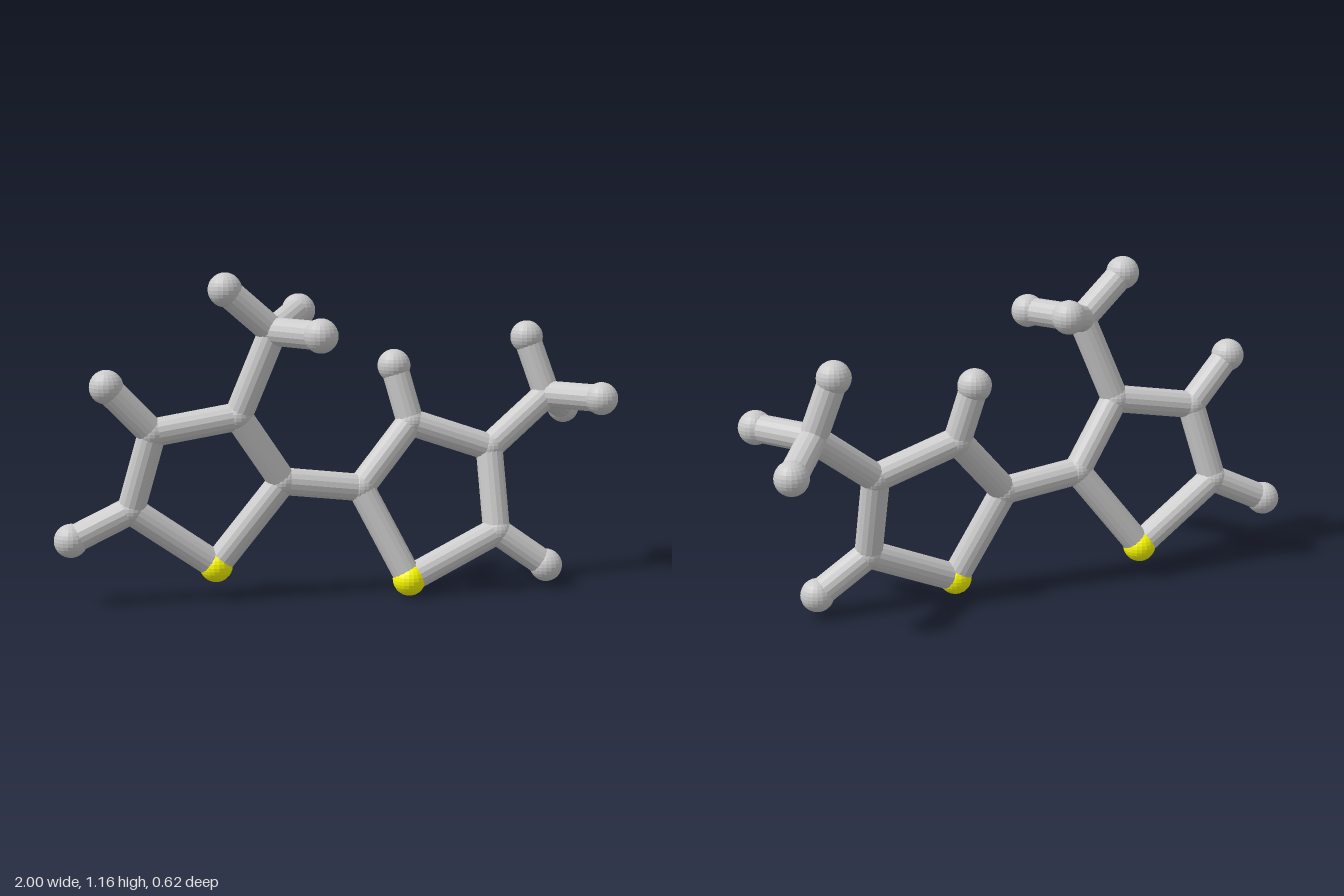
import * as THREE from 'three';

const BOND_RADIUS = 0.049;

// Joint centres [x, y, z]
const joints = {
  // right-hand ring (-x)
  sulfurA: [-0.435, 0.122, -0.063],
  carbonA2: [-0.205, 0.42, -0.015],
  carbonA3: [-0.37, 0.66, 0.02],
  carbonA4: [-0.665, 0.61, -0.008],
  carbonA5: [-0.735, 0.335, -0.055],
  hydrogenA4: [-0.823, 0.775, 0.01],
  hydrogenA5: [-0.942, 0.235, -0.073],
  methylA: [-0.255, 0.955, 0.06],
  hydrogenA6: [-0.425, 1.102, 0.08],
  hydrogenA7: [-0.122, 1.01, -0.112],
  hydrogenA8: [-0.135, 0.955, 0.255],
  // left-hand ring (+x)
  sulfurB: [0.238, 0.06, 0.058],
  carbonB2: [0.078, 0.385, -0.012],
  carbonB3: [0.275, 0.605, -0.062],
  carbonB4: [0.567, 0.505, -0.043],
  carbonB5: [0.575, 0.21, 0.025],
  hydrogenB3: [0.225, 0.805, -0.1],
  hydrogenB5: [0.757, 0.08, 0.047],
  methylB: [0.8, 0.685, -0.085],
  hydrogenB6: [0.733, 0.893, -0.12],
  hydrogenB7: [0.936, 0.688, 0.108],
  hydrogenB8: [0.93, 0.613, -0.252],
};

const bonds = [['carbonA2', 'carbonB2']];
for (const s of ['A', 'B']) {
  // five-sided ring, then its methyl group
  const ring = ['sulfur' + s, ...[2, 3, 4, 5].map((n) => 'carbon' + s + n)];
  ring.forEach((name, i) => bonds.push([name, ring[(i + 1) % 5]]));
  for (const n of [6, 7, 8]) bonds.push(['methyl' + s, 'hydrogen' + s + n]);
  bonds.push(['carbon' + s + '5', 'hydrogen' + s + '5']);
}
bonds.push(
  ['carbonA3', 'methylA'], ['carbonA4', 'hydrogenA4'],
  ['carbonB4', 'methylB'], ['carbonB3', 'hydrogenB3'],
);

export function createModel() {
  const model = new THREE.Group();
  model.name = 'molecule';
  const grey = new THREE.MeshStandardMaterial({ color: 0xcccccc, flatShading: true });
  const yellow = new THREE.MeshStandardMaterial({ color: 0xffff00, flatShading: true });

  // Balls: end caps and sulfur are slightly wider than the rods
  for (const [name, position] of Object.entries(joints)) {
    const isSulfur = name.startsWith('sulfur');
    const radius = isSulfur || name.startsWith('hydrogen') ? 0.059 : 0.053;
    const ball = new THREE.Mesh(new THREE.SphereGeometry(radius, 20, 14), isSulfur ? yellow : grey);
    ball.name = name;
    ball.position.set(...position);
    model.add(ball);
  }

  // Rods joining the balls
  const up = new THREE.Vector3(0, 1, 0);
  for (const [from, to] of bonds) {
    const a = new THREE.Vector3(...joints[from]);
    const b = new THREE.Vector3(...joints[to]);
    const direction = b.clone().sub(a);
    const rod = new THREE.Mesh(
      new THREE.CylinderGeometry(BOND_RADIUS, BOND_RADIUS, direction.length(), 16, 1, true), grey);
    rod.name = `bond ${from} to ${to}`;
    rod.position.copy(a).add(b).multiplyScalar(0.5);
    rod.quaternion.setFromUnitVectors(up, direction.normalize());
    model.add(rod);
  }
  return model;
}
